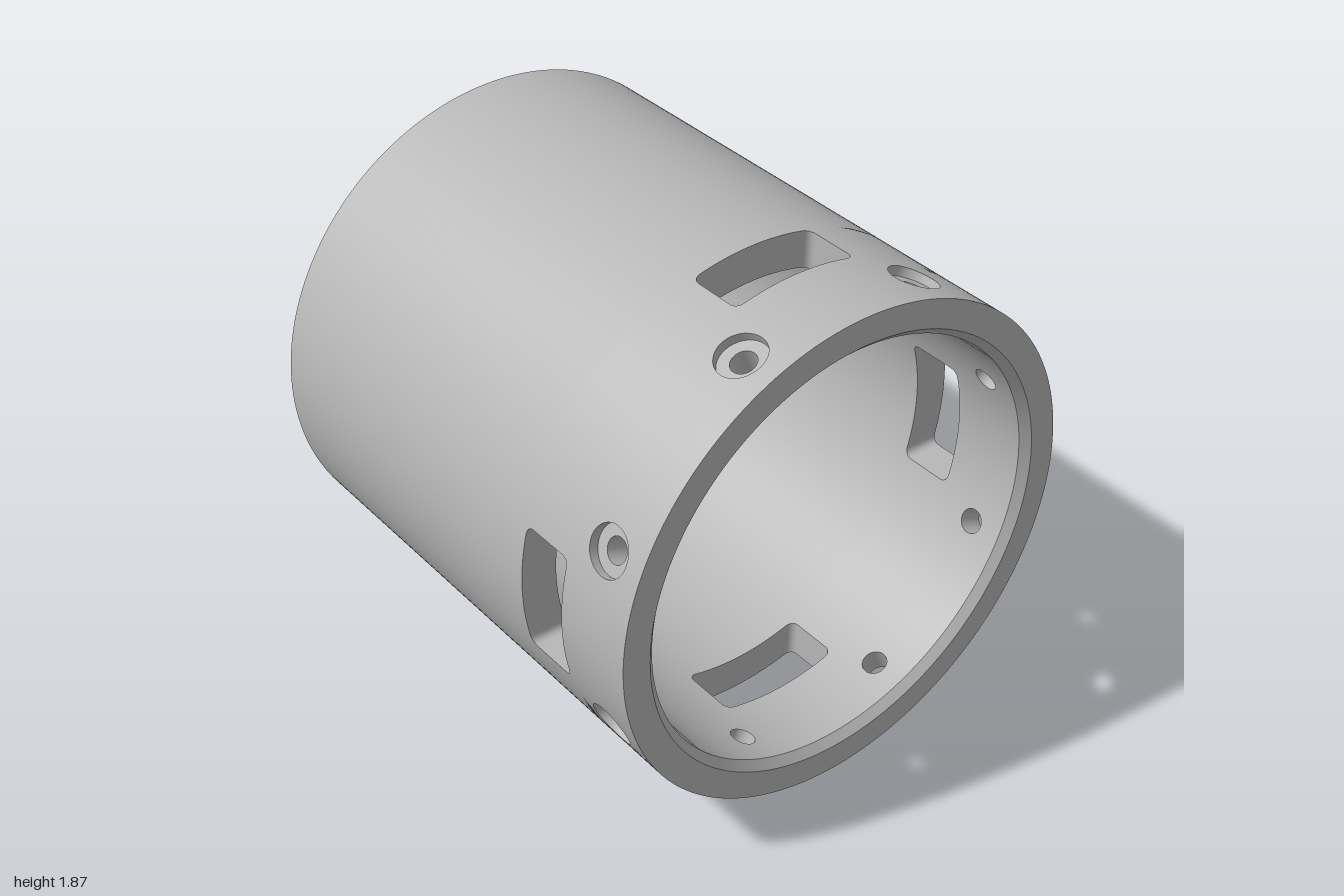
import * as THREE from 'three';

const R = 0.935, RI = 0.80;            // outer and inner wall radius
const SEG = 192;                       // segments around the axis
const BORE = 0.52, BOLT = 0.045;       // end wall openings
const WALL = -0.83;                    // inner face of the end wall

export function createModel() {
  const steel = new THREE.MeshStandardMaterial({ color: 0xb8b8b8 });
  steel.name = 'steel grey';
  const model = new THREE.Group();
  model.name = 'housing';
  const body = new THREE.Group();
  body.name = 'body';
  body.position.y = R;
  model.add(body);

  const add = (name, geometry, parent = body) => {
    const mesh = new THREE.Mesh(geometry, steel);
    mesh.name = name;
    parent.add(mesh);
    return mesh;
  };

  // One straight profile step turned about the x axis
  const turned = (r0, x0, r1, x1, seg = SEG) =>
    new THREE.LatheGeometry([new THREE.Vector2(r0, x0), new THREE.Vector2(r1, x1)], seg).rotateZ(-Math.PI / 2);

  // Surface through a list of closed rings; normalSign sets exact round normals
  function loft(rings, normalSign = 0) {
    const n = rings[0].length, pos = [], index = [];
    rings.forEach((ring) => ring.forEach((p) => pos.push(p.x, p.y, p.z)));
    for (let k = 0; k < rings.length - 1; k++) {
      for (let i = 0; i < n; i++) {
        const a = k * n + i, b = k * n + (i + 1) % n;
        index.push(a, b, b + n, a, b + n, a + n);
      }
    }
    const g = new THREE.BufferGeometry();
    g.setAttribute('position', new THREE.Float32BufferAttribute(pos, 3));
    g.setIndex(index);
    if (normalSign) {
      const nor = rings.flat().flatMap((p) => {
        const l = normalSign / Math.hypot(p.y, p.z);
        return [0, p.y * l, p.z * l];
      });
      g.setAttribute('normal', new THREE.Float32BufferAttribute(nor, 3));
    } else g.computeVertexNormals();
    return g;
  }

  // Counter-clockwise points around a unit square
  function squareLoop(nx, na) {
    const pts = [];
    for (let i = 0; i < nx; i++) pts.push([-1 + 2 * i / nx, -1]);
    for (let i = 0; i < na; i++) pts.push([1, -1 + 2 * i / na]);
    for (let i = 0; i < nx; i++) pts.push([1 - 2 * i / nx, 1]);
    for (let i = 0; i < na; i++) pts.push([-1, 1 - 2 * i / na]);
    return pts;
  }

  const onWall = (x, a, r) => new THREE.Vector3(x, r * Math.sin(a), r * Math.cos(a));
  // Opening outline [x, s] projected straight onto the wall of radius r
  const project = (outline, r) => outline.map(([x, s]) => onWall(x, Math.asin(s / r), r));

  // Curved wall panel between a rectangular border and an opening
  function panelRings(square, outline, x0, x1, half, r, steps) {
    const rings = [];
    for (let k = 0; k <= steps; k++) {
      const t = k / steps;
      rings.push(square.map(([u, v], i) => {
        const bx = (x0 + x1) / 2 + u * (x1 - x0) / 2;
        const [hx, hs] = outline[i];
        return onWall(bx + (hx - bx) * t, v * half + (Math.asin(hs / r) - v * half) * t, r);
      }));
    }
    return rings;
  }

  // Outer shell, end rim and inner shell
  add('outerWall', turned(R, -0.975, R, 0.44));
  add('outerRimBand', turned(R, 0.95, R, 1));
  add('rimFace', turned(R, 1, 0.83, 1));
  add('rimChamfer', turned(0.83, 1, RI, 0.97));
  add('innerRimBand', turned(RI, 0.97, RI, 0.95));
  add('innerWall', turned(RI, 0.44, RI, WALL));
  add('endChamfer', turned(R - 0.025, -1, R, -0.975));

  // End wall with central bore and six bolt holes
  const bolts = Array.from({ length: 6 }, (_, i) => i * Math.PI / 3);
  function plate(outer, inner) {
    const shape = new THREE.Shape().absarc(0, 0, outer, 0, Math.PI * 2, false);
    shape.holes.push(new THREE.Path().absarc(0, 0, inner, 0, Math.PI * 2, true));
    for (const a of bolts) {
      shape.holes.push(new THREE.Path().absarc(0.67 * Math.cos(a), 0.67 * Math.sin(a), BOLT, 0, Math.PI * 2, true));
    }
    return new THREE.ShapeGeometry(shape, SEG / 2);
  }
  add('endFace', plate(R - 0.025, BORE + 0.025).rotateY(-Math.PI / 2)).position.x = -1;
  add('endInnerFace', plate(RI, BORE).rotateY(Math.PI / 2)).position.x = WALL;
  add('boreChamfer', turned(BORE, -0.975, BORE + 0.025, -1));
  add('bore', turned(BORE, WALL, BORE, -0.975));
  for (const a of bolts) {
    const hole = add('boltHole', turned(BOLT, WALL, BOLT, -1, 48));
    hole.position.set(0, 0.67 * Math.sin(a), 0.67 * Math.cos(a));
  }

  // Four rounded window slots cut straight through the wall
  const slotSquare = squareLoop(24, 48);
  const hx = 0.1075, hs = 0.243, cr = 0.03;
  const slotOutline = slotSquare.map(([u, v]) => {
    const x = u * hx, s = v * hs;
    const cx = THREE.MathUtils.clamp(x, cr - hx, hx - cr);
    const cs = THREE.MathUtils.clamp(s, cr - hs, hs - cr);
    const k = cr / Math.hypot(x - cx, s - cs);
    return [0.5725 + cx + (x - cx) * k, cs + (s - cs) * k];
  });
  const slotArgs = [slotSquare, slotOutline, 0.44, 0.73, Math.PI / 4];
  const slotParts = {
    slotOuterPanel: loft(panelRings(...slotArgs, R, 16), 1),
    slotSides: loft([project(slotOutline, R), project(slotOutline, RI)]),
    slotInnerPanel: loft(panelRings(...slotArgs, RI, 16).reverse(), -1),
  };

  // Eight counterbored screw holes near the open rim
  const holeSquare = squareLoop(24, 24);
  const circle = (r) => holeSquare.map(([u, v]) => {
    const a = Math.atan2(v, u);
    return [0.84 + r * Math.cos(a), r * Math.sin(a)];
  });
  const flat = (outline, z) => outline.map(([x, s]) => new THREE.Vector3(x, s, z));
  const wide = circle(0.088), narrow = circle(0.045), seat = 0.9;
  const holeArgs = [0.73, 0.95, Math.PI / 8];
  const holeParts = {
    screwOuterPanel: loft(panelRings(holeSquare, wide, ...holeArgs, R, 10), 1),
    counterboreSide: loft([project(wide, R), flat(wide, seat)]),
    counterboreSeat: loft([flat(wide, seat), flat(narrow, seat)]),
    screwHoleSide: loft([flat(narrow, seat), project(narrow, RI)]),
    screwInnerPanel: loft(panelRings(holeSquare, narrow, ...holeArgs, RI, 10).reverse(), -1),
  };

  // Repeat the panels around the axis
  function ringOf(name, parts, count, offset) {
    for (let i = 0; i < count; i++) {
      const g = new THREE.Group();
      g.name = name;
      g.rotation.x = offset + i * Math.PI * 2 / count;
      for (const [part, geometry] of Object.entries(parts)) add(part, geometry, g);
      body.add(g);
    }
  }
  ringOf('windowSlot', slotParts, 4, 0);
  ringOf('screwHole', holeParts, 8, Math.PI / 8);

  return model;
}
